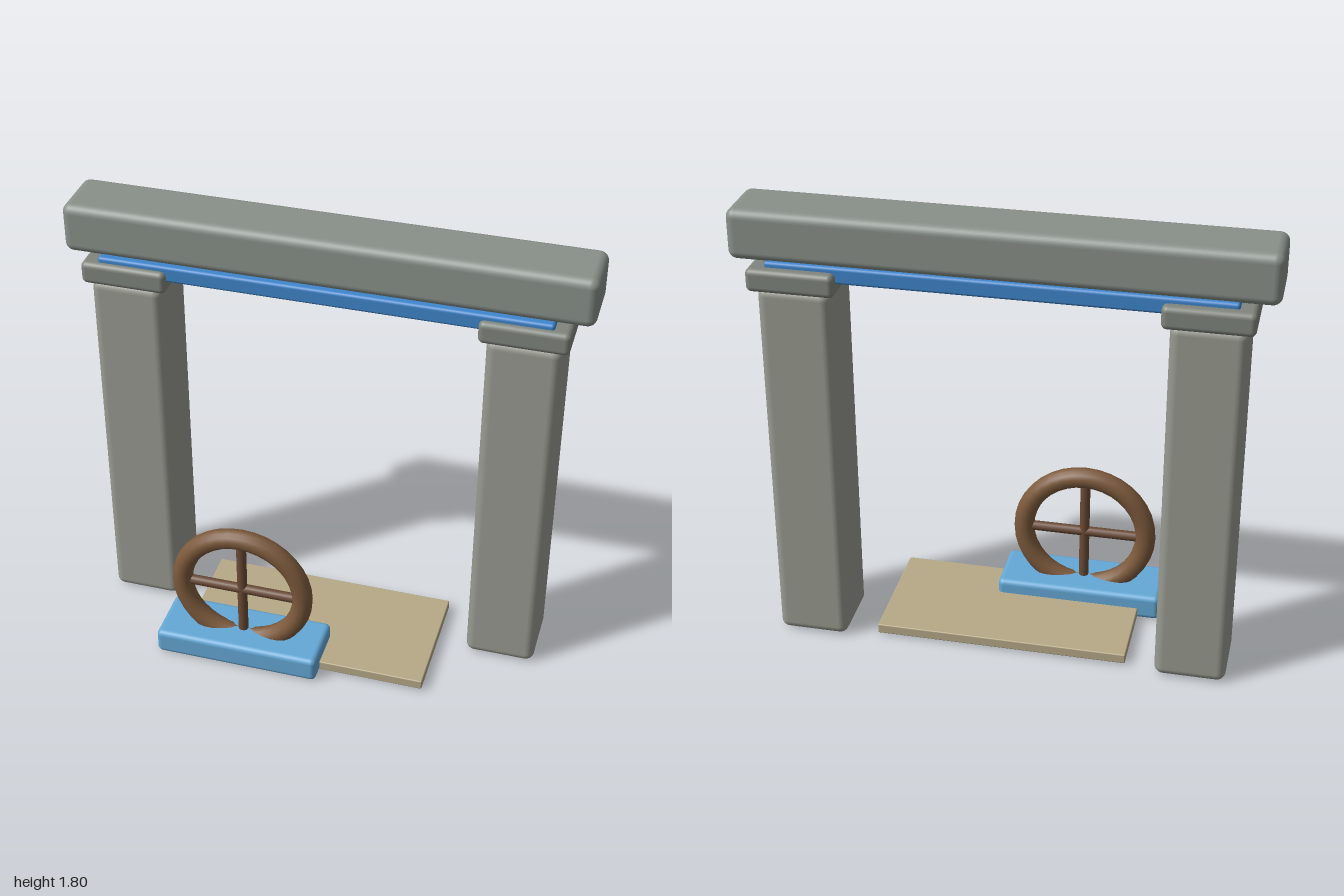
import * as THREE from 'three';
import { RoundedBoxGeometry } from 'three/addons/geometries/RoundedBoxGeometry.js';

const paint = (color) => new THREE.MeshStandardMaterial({ color });

// Rounded block given by its extents on each axis
function block(name, [x0, x1], [y0, y1], [z0, z1], radius, material) {
  const geometry = new RoundedBoxGeometry(x1 - x0, y1 - y0, z1 - z0, 4, radius);
  const mesh = new THREE.Mesh(geometry, material);
  mesh.position.set((x0 + x1) / 2, (y0 + y1) / 2, (z0 + z1) / 2);
  mesh.name = name;
  return mesh;
}

export function createModel() {
  const model = new THREE.Group();
  model.name = 'stoneGateway';

  const pillarStone = paint(0x999b91);
  const beamStone = paint(0x89918a);
  const capStone = paint(0x80857d);
  const blue = paint(0x3f86cc);
  const lightBlue = paint(0x64a8d6);
  const wood = paint(0x7d5a3c);
  const darkWood = paint(0x6a4a35);
  const sand = paint(0xb6a988);

  // Pillars with capitals
  for (const side of [-1, 1]) {
    const name = side > 0 ? 'left' : 'right';
    const span = (a, b) => (side > 0 ? [a, b] : [-b, -a]);
    model.add(block(name + 'Pillar', span(0.618, 0.895), [0.005, 1.505], [-0.295, -0.015], 0.035, pillarStone));
    model.add(block(name + 'Capital', span(0.59, 0.923), [1.5, 1.59], [-0.327, 0.005], 0.022, capStone));
  }

  // Lintel: blue underlay and the heavy top beam
  model.add(block('lintelUnderlay', [-0.86, 0.86], [1.545, 1.61], [-0.29, -0.018], 0.012, blue));
  model.add(block('topBeam', [-1, 1], [1.602, 1.797], [-0.285, -0.035], 0.035, beamStone));

  // Threshold slab and wheel base
  model.add(block('thresholdSlab', [-0.5, 0.5], [0.008, 0.048], [-0.25, 0.255], 0.005, sand));
  model.add(block('wheelBase', [-0.587, 0.08], [0, 0.105], [0.077, 0.325], 0.022, lightBlue));

  // Wheel: ring with two crossed spokes
  const wheel = new THREE.Group();
  wheel.name = 'wheel';
  wheel.position.set(-0.255, 0.312, 0.201);
  const ring = new THREE.Mesh(new THREE.TorusGeometry(0.25, 0.041, 14, 36), wood);
  ring.name = 'wheelRing';
  wheel.add(ring);
  for (const angle of [0, Math.PI / 2]) {
    const spoke = new THREE.Mesh(new THREE.CylinderGeometry(0.02, 0.02, 0.48, 14), darkWood);
    spoke.name = angle ? 'horizontalSpoke' : 'verticalSpoke';
    spoke.rotation.z = angle;
    wheel.add(spoke);
  }
  model.add(wheel);

  return model;
}
